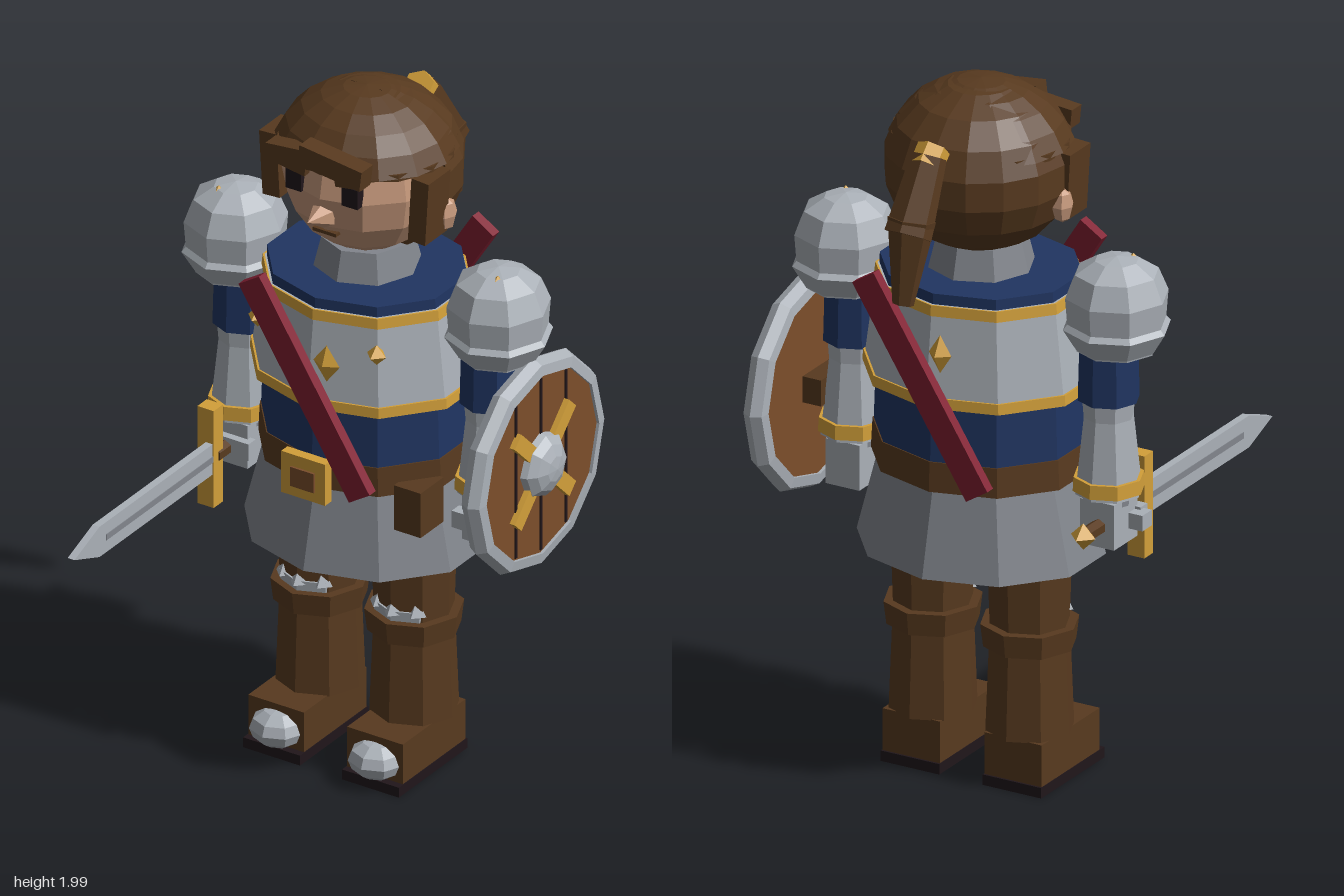
import * as THREE from 'three';

const mat = (name, color) => {
  const m = new THREE.MeshStandardMaterial({ color, flatShading: true });
  m.name = name;
  return m;
};

export function createModel() {
  const skin = mat('skin', 0xc4977a), brown = mat('brown leather and hair', 0x583a1f);
  const wood = mat('wood', 0x7c4e2b), gold = mat('gold', 0xd3a03a);
  const plate = mat('plate armour', 0xabb1b8), steel = mat('steel', 0x82868d);
  const navy = mat('navy cloth', 0x203562), red = mat('red sash', 0x821f32);
  const dark = mat('dark', 0x20161a);

  const root = new THREE.Group();
  const model = new THREE.Group();
  model.name = 'knight';
  model.position.set(-0.016, 0, -0.195);
  root.add(model);

  const add = (name, geo, m, x = 0, y = 0, z = 0, parent = model) => {
    const mesh = new THREE.Mesh(geo, m);
    mesh.name = name;
    mesh.position.set(x, y, z);
    parent.add(mesh);
    return mesh;
  };
  const box = (name, m, w, h, d, x, y, z, parent) =>
    add(name, new THREE.BoxGeometry(w, h, d), m, x, y, z, parent);
  // upright faceted section from y0 to y1
  const drum = (name, m, r0, r1, y0, y1, x = 0, z = 0, n = 8, sx = 1, turn = 0) => {
    const g = new THREE.CylinderGeometry(r1, r0, y1 - y0, n, 1, false, turn);
    g.scale(sx, 1, 1);
    return add(name, g, m, x, (y0 + y1) / 2, z);
  };
  const ball = (name, m, rx, ry, rz, x, y, z, w = 8, h = 6) => {
    const g = new THREE.SphereGeometry(1, w, h);
    g.scale(rx, ry, rz);
    return add(name, g, m, x, y, z);
  };
  const stud = (name, rx, ry, rz, x, y, z, parent) => {
    const g = new THREE.OctahedronGeometry(1);
    g.scale(rx, ry, rz);
    return add(name, g, gold, x, y, z, parent);
  };

  // Torso: stacked ten-sided sections
  const torso = (name, m, r0, r1, y0, y1) => drum(name, m, r0, r1, y0, y1, 0, 0, 10, 1.13);
  torso('skirt', steel, 0.307, 0.246, 0.66, 0.93);
  torso('belt', brown, 0.272, 0.268, 0.9, 0.985);
  torso('tunic', navy, 0.266, 0.25, 0.95, 1.465);
  torso('breastplate', plate, 0.288, 0.256, 1.16, 1.435);
  torso('lowerTrim', gold, 0.293, 0.291, 1.15, 1.18);
  torso('upperTrim', gold, 0.264, 0.261, 1.405, 1.435);
  drum('neckGuard', steel, 0.15, 0.125, 1.45, 1.55);

  // Belt fittings and chest studs
  box('buckle', gold, 0.14, 0.125, 0.03, -0.005, 0.937, 0.285);
  box('buckleCentre', wood, 0.075, 0.058, 0.008, -0.005, 0.935, 0.303);
  box('pouch', brown, 0.085, 0.135, 0.11, 0.258, 0.868, 0.14);
  for (const s of [-1, 1]) stud('chestStud', 0.03, 0.03, 0.03, s * 0.19, 1.345, 0.24);
  stud('chestGem', 0.042, 0.055, 0.022, 0.07, 1.31, 0.3);
  stud('backGem', 0.035, 0.055, 0.03, -0.04, 1.31, -0.28);

  // Sash, front and back
  for (const s of [-1, 1]) {
    box('sash', red, 0.078, 0.66, 0.03, 0.005, 1.215, s * 0.296).rotation.z = s * 0.565;
  }

  // Head and face
  ball('head', skin, 0.232, 0.232, 0.228, 0, 1.755, 0, 12, 8);
  const nose = add('nose', new THREE.ConeGeometry(0.04, 0.08, 6), skin, 0, 1.705, 0.247);
  nose.rotation.x = 1.45;
  box('mouth', brown, 0.075, 0.01, 0.03, 0, 1.645, 0.192);
  for (const s of [-1, 1]) {
    box('eye', dark, 0.05, 0.058, 0.03, s * 0.09, 1.782, 0.205);
    box('brow', brown, 0.085, 0.022, 0.04, s * 0.09, 1.826, 0.208).rotation.z = s * 0.15;
    ball('ear', skin, 0.03, 0.05, 0.035, s * 0.252, 1.685, 0.0, 6, 4);
    const lock = box('sideLock', brown, 0.055, 0.19, 0.105, s * 0.238, 1.735, 0.06);
    lock.rotation.z = -s * 0.06;
  }

  // Hair: back half shell, crown cap, fringe
  const hairBack = new THREE.SphereGeometry(1, 8, 9, Math.PI, Math.PI);
  hairBack.rotateY(Math.PI);
  // keep the half that lies behind the ears
  hairBack.computeBoundingBox();
  if (hairBack.boundingBox.max.z > 0.5) hairBack.rotateY(Math.PI);
  hairBack.scale(0.262, 0.24, 0.272);
  const shell = new THREE.Group();
  shell.name = 'hair';
  model.add(shell);
  add('hairBack', hairBack, brown, 0, 1.76, 0, shell);
  const edge = new THREE.CircleGeometry(1, 18);
  edge.scale(0.262, 0.24, 1);
  add('hairFrontEdge', edge, brown, 0, 1.76, 0.0, shell);
  const cap = new THREE.SphereGeometry(1, 14, 5, 0, Math.PI * 2, 0, 1.25);
  cap.scale(0.268, 0.24, 0.245);
  add('hairCrown', cap, brown, 0, 1.76, 0, shell);
  const brim = new THREE.CylinderGeometry(0.95, 0.95, 0.02, 14);
  brim.scale(0.262, 1, 0.238);
  add('hairBrim', brim, brown, 0, 1.838, 0, shell);
  box('fringe', brown, 0.2, 0.06, 0.055, 0.045, 1.872, 0.222, shell).rotation.z = -0.12;
  box('fringe', brown, 0.15, 0.055, 0.05, -0.095, 1.855, 0.205, shell).rotation.z = 0.1;

  // Ponytail: two tapered lengths and a tie
  const tail = (name, m, r0, r1, y0, z0, y1, z1, sx) => {
    const g = new THREE.CylinderGeometry(r0, r1, Math.hypot(y1 - y0, z1 - z0), 6);
    g.scale(sx, 1, 1);
    const t = add(name, g, m, 0, (y0 + y1) / 2, (z0 + z1) / 2);
    t.rotation.x = Math.atan2(z0 - z1, y0 - y1);
  };
  tail('hairTie', gold, 0.042, 0.042, 1.885, -0.245, 1.845, -0.285, 1.1);
  tail('ponytailTop', brown, 0.036, 0.048, 1.87, -0.27, 1.68, -0.38, 1.45);
  tail('ponytailTip', brown, 0.05, 0.022, 1.72, -0.36, 1.49, -0.405, 1.4);

  for (const s of [-1, 1]) {
    // Pauldron: faceted dome over a tapered rim
    const dome = new THREE.LatheGeometry([
      [0.112, 0], [0.148, 0.06], [0.136, 0.075], [0.142, 0.15], [0.115, 0.215], [0.06, 0.25], [0, 0.26],
    ].map(p => new THREE.Vector2(...p)), 8);
    add('pauldron', dome, plate, s * 0.42, 1.315, 0);
    drum('pauldronBase', plate, 0.11, 0.112, 1.31, 1.32, s * 0.42);
    stud('pauldronStud', 0.017, 0.017, 0.017, s * 0.446, 1.557, 0.043);

    // Arm
    const ax = s * 0.395;
    drum('upperArm', navy, 0.085, 0.08, 1.16, 1.35, ax);
    drum('elbow', plate, 0.067, 0.073, 1.09, 1.165, ax);
    drum('forearm', plate, 0.092, 0.068, 0.89, 1.115, ax);
    drum('cuff', gold, 0.099, 0.097, 0.9, 0.94, ax);
    box('hand', plate, 0.105, 0.13, 0.12, ax, 0.815, 0);
    drum('wrist', steel, 0.06, 0.06, 0.86, 0.9, ax);
    box('thumb', plate, 0.05, 0.045, 0.05, ax + s * 0.07, 0.81, 0.04);
    box('knuckles', plate, 0.14, 0.05, 0.035, ax, 0.815, 0.065);

    // Leg
    const lx = s * 0.15;
    drum('thigh', brown, 0.11, 0.118, 0.46, 0.7, lx);
    drum('kneeGuard', plate, 0.1, 0.105, 0.45, 0.495, lx, 0.012);
    for (const k of [-0.06, 0, 0.06]) {
      add('kneePoint', new THREE.ConeGeometry(0.03, 0.05, 4), plate, lx + k, 0.51, 0.1 - Math.abs(k) * 0.4);
    }
    drum('bootCuff', brown, 0.128, 0.136, 0.4, 0.465, lx);
    drum('bootShaft', brown, 0.122, 0.112, 0.155, 0.41, lx);
    box('foot', brown, 0.178, 0.135, 0.3, s * 0.158, 0.09, 0.05);
    box('sole', dark, 0.182, 0.03, 0.328, s * 0.158, 0.022, 0.058);
    ball('toeCap', plate, 0.083, 0.056, 0.082, s * 0.158, 0.085, 0.185);
  }

  // Sword held forward in the right hand
  const sword = new THREE.Group();
  sword.name = 'sword';
  sword.position.set(-0.4, 0.81, 0);
  model.add(sword);
  const blade = new THREE.Shape([[0.13, -0.046], [0.7, -0.046], [0.82, 0], [0.7, 0.046], [0.13, 0.046]]
    .map(p => new THREE.Vector2(...p)));
  const bladeGeo = new THREE.ExtrudeGeometry(blade, { depth: 0.022, bevelEnabled: false });
  bladeGeo.translate(0, 0, -0.011);
  bladeGeo.rotateY(-Math.PI / 2);
  add('blade', bladeGeo, plate, 0, 0, 0, sword);
  box('bladeGroove', steel, 0.026, 0.018, 0.52, 0, 0, 0.41, sword);
  box('guard', gold, 0.052, 0.295, 0.045, -0.012, 0, 0.135, sword);
  const grip = add('grip', new THREE.CylinderGeometry(0.022, 0.022, 0.27, 6), brown, 0, 0, 0, sword);
  grip.rotation.x = Math.PI / 2;
  stud('pommel', 0.038, 0.038, 0.038, 0, 0, -0.14, sword);

  // Round shield on the left arm; its own y axis points outward
  const shield = new THREE.Group();
  shield.name = 'shield';
  shield.position.set(0.53, 1.015, 0);
  shield.rotation.z = -Math.PI / 2;
  model.add(shield);
  const rim = new THREE.LatheGeometry([
    [0.27, -0.032], [0.3, -0.028], [0.315, 0], [0.3, 0.028], [0.27, 0.032], [0.27, -0.032],
  ].map(p => new THREE.Vector2(...p)), 12);
  add('shieldRim', rim, plate, 0, 0, 0, shield);
  add('shieldBoard', new THREE.CylinderGeometry(0.275, 0.275, 0.046, 12), wood, 0, 0, 0, shield);
  for (const z of [-0.12, 0, 0.12]) {
    box('plankSeam', dark, 2 * Math.sqrt(0.068 - z * z), 0.006, 0.008, 0, 0.024, z, shield);
  }
  for (const s of [-1, 1]) {
    box('shieldBar', gold, 0.37, 0.02, 0.045, 0, 0.03, 0, shield).rotation.y = s * Math.PI / 4;
  }
  const boss = new THREE.SphereGeometry(0.098, 8, 4, 0, Math.PI * 2, 0, Math.PI / 2);
  boss.scale(1, 0.62, 1);
  add('shieldBoss', boss, plate, 0, 0.018, 0, shield);
  box('shieldStrap', brown, 0.075, 0.06, 0.16, 0, -0.05, 0, shield);

  return root;
}
